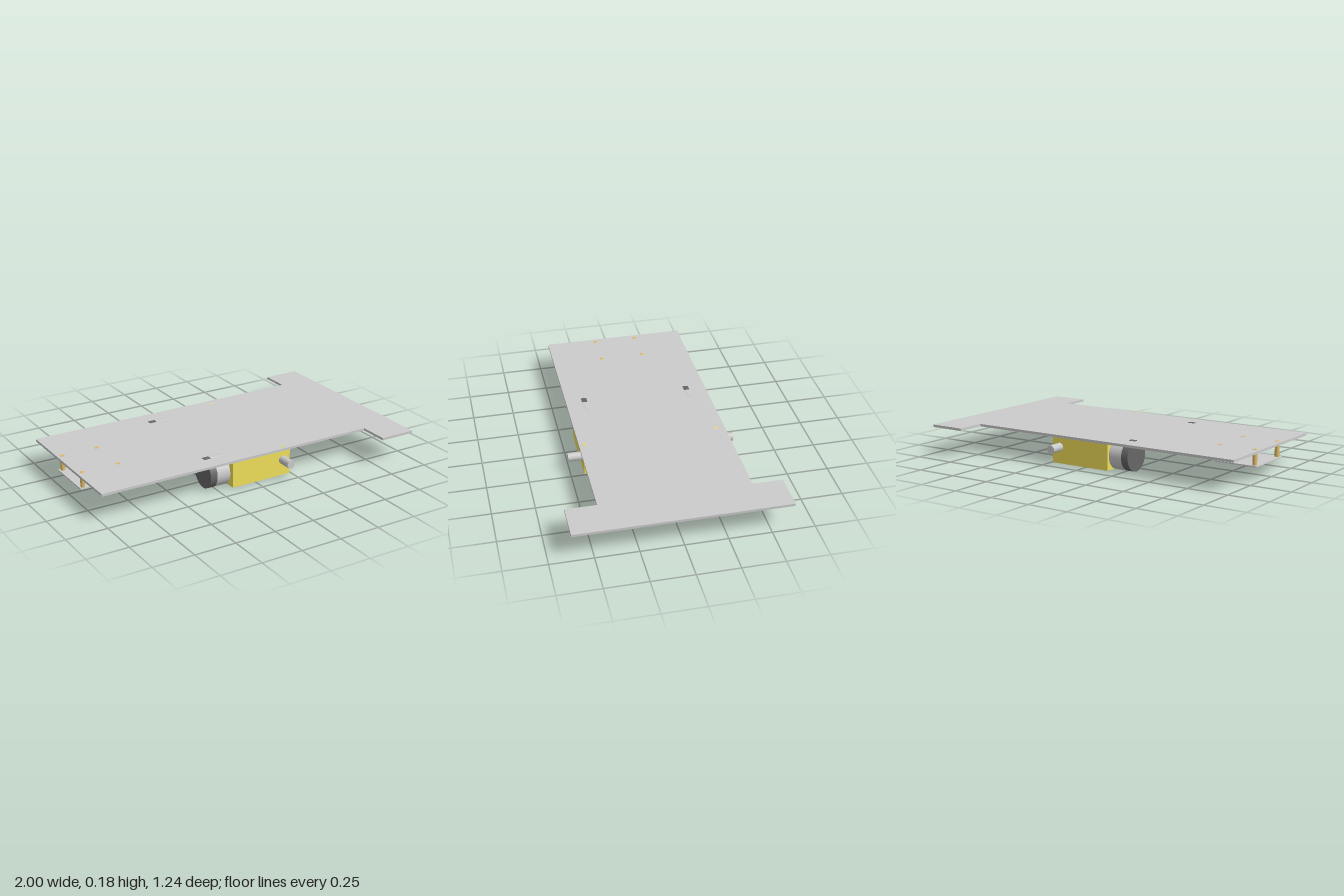
import * as THREE from 'three';

const mat = (color) => new THREE.MeshStandardMaterial({ color });

export function createModel() {
  const model = new THREE.Group();
  const grey = mat(0xcccccc), dark = mat(0x666666), yellow = mat(0xf0e05a), brass = mat(0xdcb964);

  const add = (parent, name, geometry, material, x, y, z) => {
    const mesh = new THREE.Mesh(geometry, material);
    mesh.name = name;
    mesh.position.set(x, y, z);
    parent.add(mesh);
    return mesh;
  };
  // Cylinder lying along x between two ends
  const rodX = (r, x0, x1, sides) =>
    new THREE.CylinderGeometry(r, r, x1 - x0, sides).rotateZ(Math.PI / 2).translate((x0 + x1) / 2, 0, 0);

  // T-shaped chassis plate, drawn in x and -z, then laid flat
  const outline = [
    [-1, -0.44], [0.775, -0.44], [0.775, -0.622], [1, -0.622],
    [1, 0.622], [0.775, 0.622], [0.775, 0.445], [-1, 0.445],
  ].map(([x, y]) => new THREE.Vector2(x, y));
  const plate = new THREE.ExtrudeGeometry(new THREE.Shape(outline), { depth: 0.015, bevelEnabled: false });
  add(model, 'chassisPlate', plate.rotateX(-Math.PI / 2), grey, 0, 0.165, 0);

  // Two geared motors hanging below the plate, shafts pointing outwards
  for (const side of [1, -1]) {
    const unit = new THREE.Group();
    unit.name = side > 0 ? 'frontGearMotor' : 'backGearMotor';
    unit.position.z = 0.006 + side * 0.325;
    model.add(unit);
    add(unit, 'gearbox', new THREE.BoxGeometry(0.395, 0.164, 0.178), yellow, 0.043, 0.083, 0);
    add(unit, 'motorCan', rodX(0.0905, -0.255, -0.17, 32), grey, 0, 0.0912, -0.006);
    add(unit, 'motorCap', rodX(0.0905, -0.3, -0.255, 32), dark, 0, 0.0912, -0.006);
    const shaft = new THREE.CylinderGeometry(0.026, 0.026, 0.11, 10).rotateX(Math.PI / 2);
    add(unit, 'axleShaft', shaft, grey, 0.19, 0.1, side * 0.123);
    // Small fixing pin showing flush in the plate
    add(unit, 'fixingPin', new THREE.CylinderGeometry(0.01, 0.01, 0.018, 12), yellow, 0.193, 0.172, side * 0.077);
  }

  // Circuit board carried on four brass standoffs
  const tray = new THREE.Group();
  tray.name = 'circuitBoardAssembly';
  tray.position.set(-0.856, 0, -0.0075);
  model.add(tray);
  add(tray, 'circuitBoard', new THREE.BoxGeometry(0.268, 0.007, 0.311), grey, 0, 0.0865, 0);
  for (const sx of [1, -1]) {
    for (const sz of [1, -1]) {
      const post = new THREE.CylinderGeometry(0.0135, 0.0135, 0.091, 12);
      add(tray, 'standoff', post, brass, sx * 0.111, 0.1353, sz * 0.134);
    }
  }
  return model;
}
